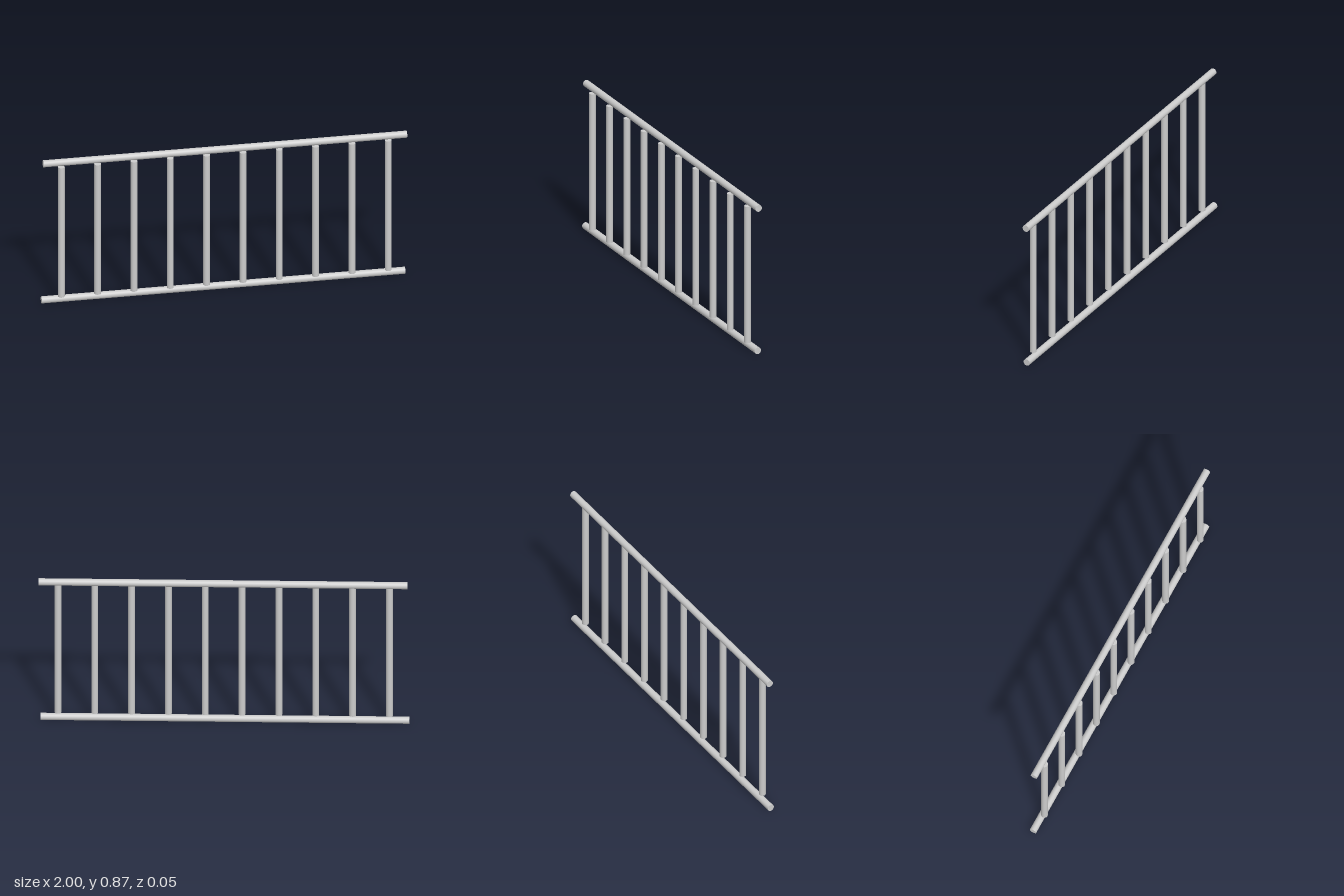
import * as THREE from 'three';

export function createModel() {
  const group = new THREE.Group();
  group.name = 'railing';
  const material = new THREE.MeshStandardMaterial({ color: 0xcccccc });

  function rod(name, radius, length, x, y, z) {
    const mesh = new THREE.Mesh(new THREE.CylinderGeometry(radius, radius, length, 32), material);
    mesh.name = name;
    mesh.position.set(x, y, z);
    group.add(mesh);
    return mesh;
  }

  // Horizontal rails, slightly offset from each other along x
  const railRadius = 0.0195, railLength = 1.99, railZ = -0.006;
  rod('bottomRail', railRadius, railLength, -0.005, 0.0197, railZ).rotation.z = Math.PI / 2;
  rod('topRail', railRadius, railLength, 0.005, 0.8555, railZ).rotation.z = Math.PI / 2;

  // Evenly spaced upright bars, set a little forward of the rails
  const count = 10, spacing = 0.1988, bottom = 0.04, top = 0.836;
  for (let i = 0; i < count; i++) {
    const x = 0.002 + (i - (count - 1) / 2) * spacing;
    rod('uprightBar' + (i + 1), 0.0185, top - bottom, x, (top + bottom) / 2, 0.0075);
  }
  return group;
}
